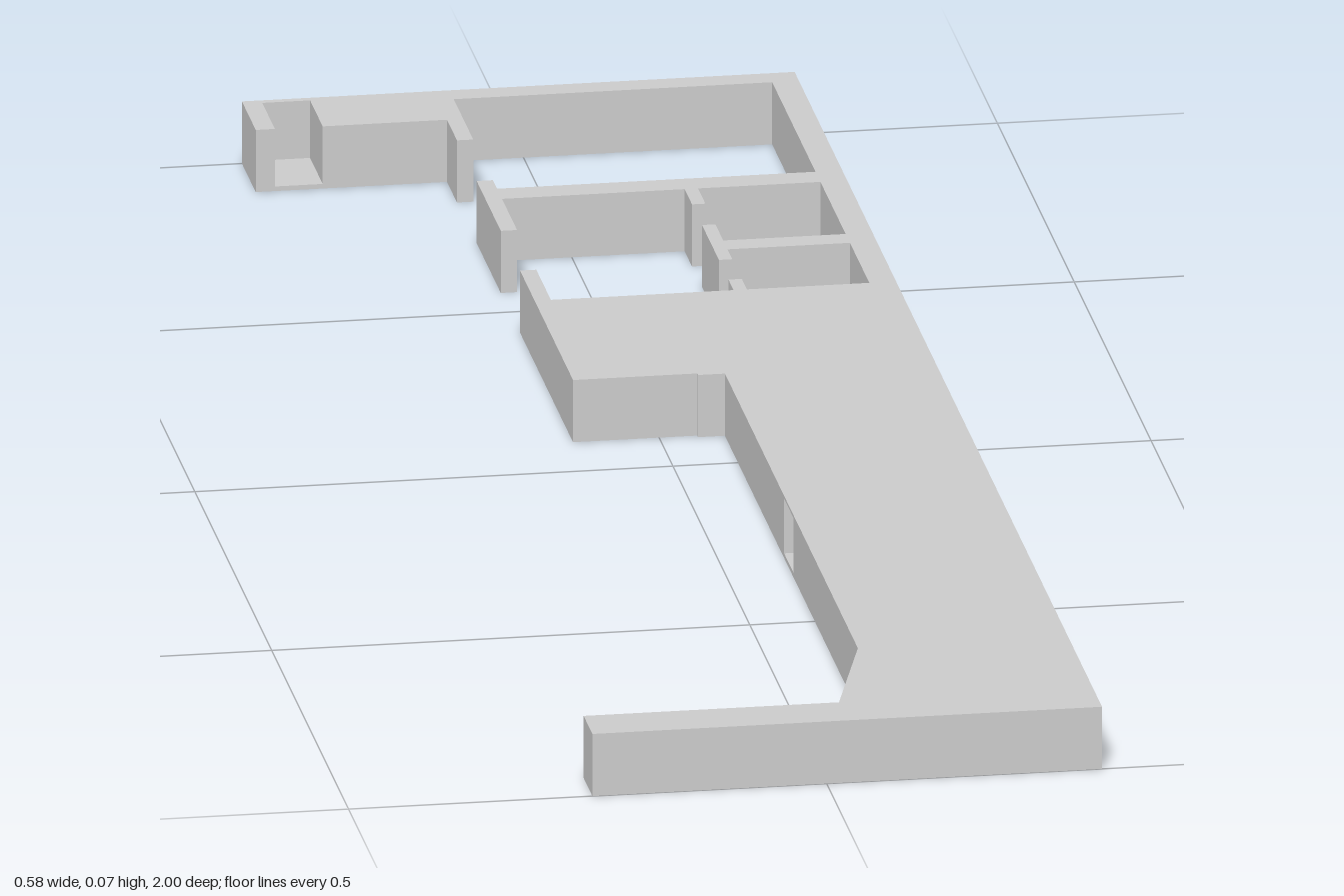
import * as THREE from 'three';

const HEIGHT = 0.068;
const material = new THREE.MeshStandardMaterial({ color: 0xcccccc, flatShading: true });

// Plan outline in [x, z], walked as one closed loop
const outer = [
  [-0.245, 1], [0.288, 1], [0.288, -1],
];
const endWing = [
  [-0.29, -1], [-0.29, -0.91], [-0.27, -0.91], [-0.27, -0.992], [-0.22, -0.992], [-0.22, -0.91],
  [-0.09, -0.91], [-0.09, -0.845], [-0.073, -0.845], [-0.073, -0.972],
];
const largeRoom = [
  [0.26, -0.972], [0.26, -0.69], [-0.073, -0.69], [-0.073, -0.717], [-0.09, -0.717],
  [-0.09, -0.56], [-0.073, -0.56], [-0.073, -0.658], [0.118, -0.658], [0.118, -0.61],
  [0.132, -0.61], [0.132, -0.658], [0.26, -0.658],
];
const smallRooms = [
  [0.26, -0.494], [0.132, -0.494], [0.132, -0.545], [0.118, -0.545], [0.118, -0.435],
  [0.132, -0.435], [0.132, -0.466], [0.26, -0.466], [0.26, -0.34], [0.132, -0.34],
  [0.132, -0.373], [0.118, -0.373], [0.118, -0.34], [-0.073, -0.34], [-0.073, -0.435], [-0.09, -0.435],
];
const corridor = [
  [-0.09, -0.09], [0.04, -0.09], [0.04, -0.085], [0.068, -0.085],
  [0.068, 0.3], [0.108, 0.3], [0.108, 0.36], [0.068, 0.36],
  [0.068, 0.78], [0.022, 0.943], [-0.245, 0.943],
];

function addSolid(group, name, points, y0, y1) {
  const shape = new THREE.Shape(points.map(([x, z]) => new THREE.Vector2(x, -z)));
  const geometry = new THREE.ExtrudeGeometry(shape, { depth: y1 - y0, bevelEnabled: false });
  geometry.rotateX(-Math.PI / 2).translate(0, y0, 0);
  const mesh = new THREE.Mesh(geometry, material);
  mesh.name = name;
  group.add(mesh);
}

const rect = (x0, x1, z0, z1) => [[x0, z0], [x1, z0], [x1, z1], [x0, z1]];

export function createModel() {
  const group = new THREE.Group();
  group.name = 'floorPlan';

  // Walls and solid wings in one piece
  addSolid(group, 'wallsAndWings',
    [...outer, ...endWing, ...largeRoom, ...smallRooms, ...corridor], 0, HEIGHT);

  // Thin floor of the alcove in the end wing
  addSolid(group, 'alcoveFloor', rect(-0.27, -0.22, -0.992, -0.91), 0, 0.005);

  // Floor and ceiling of the niche in the corridor wall
  const niche = rect(0.068, 0.108, 0.3, 0.36);
  addSolid(group, 'nicheFloor', niche, 0, 0.005);
  addSolid(group, 'nicheCeiling', niche, HEIGHT - 0.003, HEIGHT);

  return group;
}
